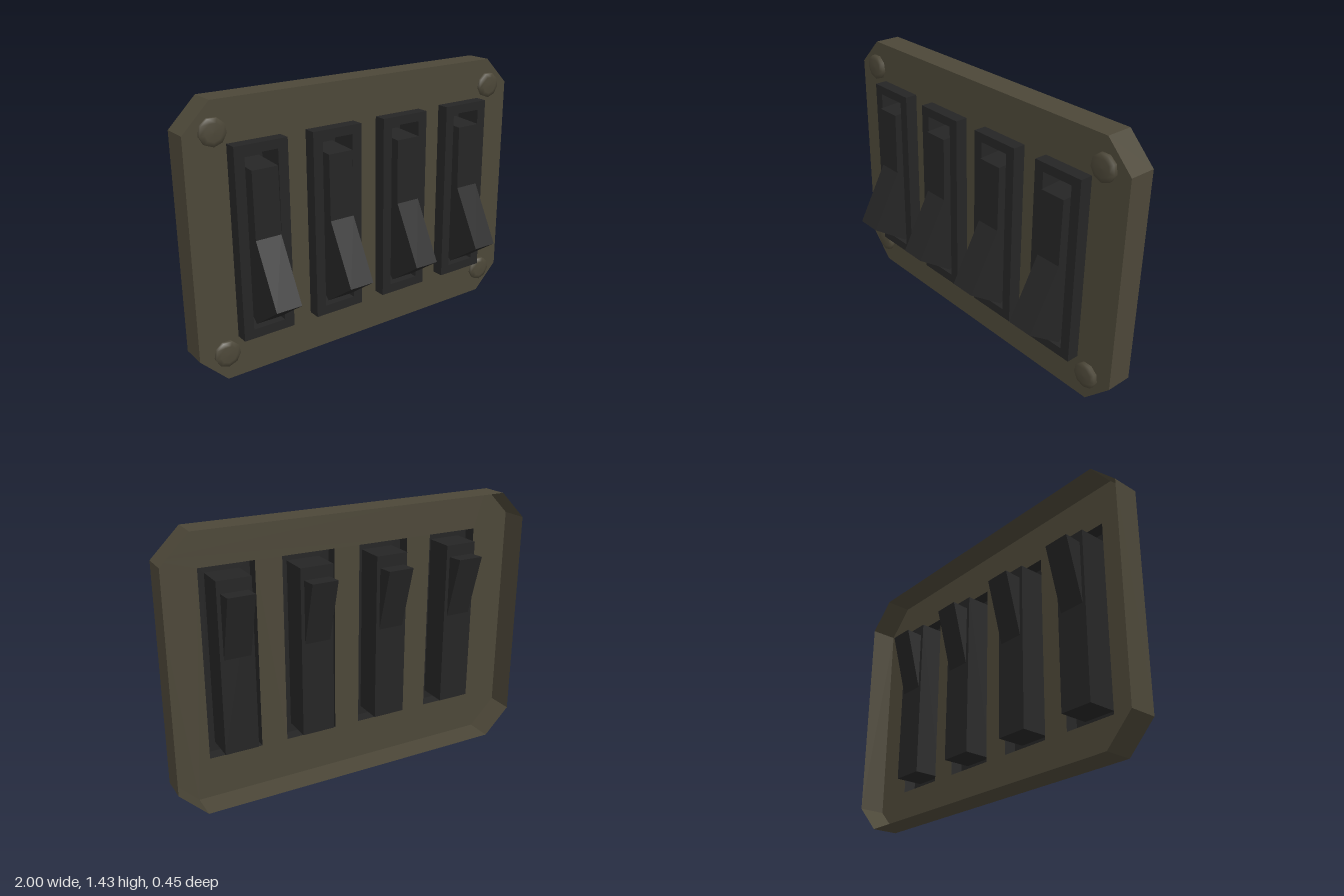
import * as THREE from 'three';

// Open-backed shells need both sides drawn.
const olive = new THREE.MeshStandardMaterial({ name: 'olive metal', color: 0x4c4738, side: THREE.DoubleSide });
const black = new THREE.MeshStandardMaterial({ name: 'black plastic', color: 0x252525, side: THREE.DoubleSide });

const H = 1.43, CUT = 0.145;
const PLATE_BACK = -0.185, PLATE_FRONT = -0.043;
const BEZEL_FRONT = 0.025, BODY_BACK = -0.13;

const rect = (cx, hw, y0, y1) =>
  [[cx - hw, y0], [cx + hw, y0], [cx + hw, y1], [cx - hw, y1]].map(p => new THREE.Vector2(...p));

function add(parent, name, geometry, material) {
  const mesh = new THREE.Mesh(geometry, material);
  mesh.name = name;
  parent.add(mesh);
  return mesh;
}

// Flat sheet at depth z, with optional openings
function sheet(outline, z, openings = []) {
  const shape = new THREE.Shape(outline);
  openings.forEach(o => shape.holes.push(new THREE.Path(o)));
  return new THREE.ShapeGeometry(shape).translate(0, 0, z);
}

// Thin wall running round a counter-clockwise outline from z0 (back) to z1 (front)
function wall(outline, z0, z1) {
  const pos = [];
  outline.forEach((p, i) => {
    const q = outline[(i + 1) % outline.length];
    pos.push(p.x, p.y, z0, q.x, q.y, z0, q.x, q.y, z1);
    pos.push(p.x, p.y, z0, q.x, q.y, z1, p.x, p.y, z1);
  });
  const g = new THREE.BufferGeometry();
  g.setAttribute('position', new THREE.Float32BufferAttribute(pos, 3));
  g.computeVertexNormals();
  return g;
}

// Rocker side profile as (z, y), extruded across x
function rockerGeometry() {
  const profile = [[0.05, 1.097], [0.055, 0.75], [0.225, 0.435], [0.02, 0.293],
    [-0.1, 0.4], [-0.13, 0.775], [-0.222, 1.112]];
  const shape = new THREE.Shape(profile.map(([z, y]) => new THREE.Vector2(-z, y)));
  return new THREE.ExtrudeGeometry(shape, { depth: 0.14, bevelEnabled: false })
    .translate(0, 0, -0.07).rotateY(Math.PI / 2);
}

function createSwitch(x) {
  const g = new THREE.Group();
  g.name = 'rockerSwitch';
  const outer = rect(0, 0.143, 0.22, 1.217);
  const inner = rect(0, 0.089, 0.27, 1.17);
  add(g, 'bezelFace', sheet(outer, BEZEL_FRONT, [inner]), black);
  add(g, 'bezelWall', wall(outer, PLATE_FRONT, BEZEL_FRONT), black);
  add(g, 'bodyWall', wall(inner, BODY_BACK, BEZEL_FRONT), black);
  add(g, 'bodyBack', sheet(inner, BODY_BACK).rotateY(Math.PI).translate(0, 0, 2 * BODY_BACK), black);
  add(g, 'rocker', rockerGeometry(), black);
  g.position.x = x;
  return g;
}

export function createModel() {
  const model = new THREE.Group();
  model.name = 'switchPanel';
  const centres = [-1.5, -0.5, 0.5, 1.5].map(i => i * 0.428);

  // Panel: hollow octagonal cover, open at the back
  const outline = [[-1 + CUT, 0], [1 - CUT, 0], [1, CUT], [1, H - CUT],
    [1 - CUT, H], [-1 + CUT, H], [-1, H - CUT], [-1, CUT]].map(p => new THREE.Vector2(...p));
  add(model, 'panelFace', sheet(outline, PLATE_FRONT, centres.map(x => rect(x, 0.143, 0.22, 1.217))), olive);
  add(model, 'panelWall', wall(outline, PLATE_BACK, PLATE_FRONT), olive);

  // Switches
  centres.forEach(x => model.add(createSwitch(x)));

  // Corner screws: low domed heads
  const head = new THREE.LatheGeometry(
    [[0.069, 0], [0.069, 0.019], [0.045, 0.025], [0, 0.027]].map(p => new THREE.Vector2(...p)), 9)
    .rotateX(Math.PI / 2);
  for (const x of [-0.855, 0.855]) {
    for (const y of [0.15, 1.285]) {
      add(model, 'screw', head, olive).position.set(x, y, PLATE_FRONT);
    }
  }
  return model;
}
